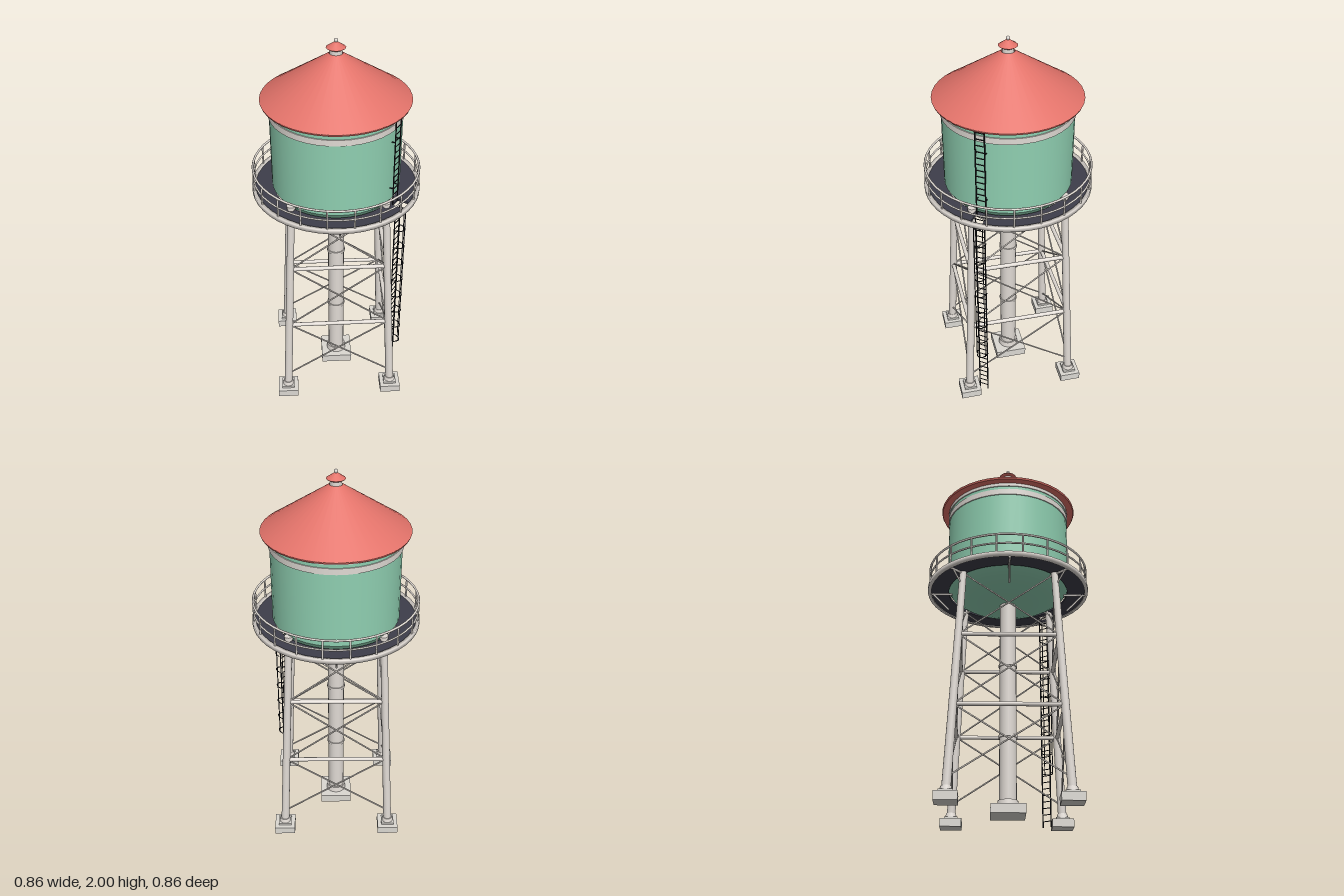
import * as THREE from 'three';

const mat = (name, color, side = THREE.FrontSide) => {
  const m = new THREE.MeshStandardMaterial({ color, side });
  m.name = name;
  return m;
};

export function createModel() {
  const red = mat('roof red', 0xe3736a, THREE.DoubleSide);
  const green = mat('tank green', 0x8fcfb1, THREE.DoubleSide);
  const steel = mat('pale steel', 0xe0dad4);
  const concrete = mat('concrete', 0xdbd8d2);
  const dark = mat('dark deck', 0x3e3e4a);
  const black = mat('ladder black', 0x1d1d21);

  const model = new THREE.Group();
  model.name = 'waterTower';
  const V = (x, y, z) => new THREE.Vector3(x, y, z);
  const group = (name, parent = model) => {
    const g = new THREE.Group();
    g.name = name;
    parent.add(g);
    return g;
  };
  const add = (parent, name, geo, material, x = 0, y = 0, z = 0) => {
    const m = new THREE.Mesh(geo, material);
    m.name = name;
    m.position.set(x, y, z);
    parent.add(m);
    return m;
  };
  // Round bar between two points, optionally tapered
  const bar = (parent, name, a, b, r, material, sides = 6, rTop = r) => {
    const d = b.clone().sub(a);
    const m = add(parent, name, new THREE.CylinderGeometry(rTop, r, d.length(), sides), material);
    m.position.copy(a).addScaledVector(d, 0.5);
    m.quaternion.setFromUnitVectors(V(0, 1, 0), d.normalize());
    return m;
  };
  const lathe = (parent, name, pts, material, sides = 40) =>
    add(parent, name, new THREE.LatheGeometry(pts.map(p => new THREE.Vector2(...p)), sides), material);
  const hoop = (parent, name, R, r, y, material) =>
    add(parent, name, new THREE.TorusGeometry(R, r, 6, 48).rotateX(Math.PI / 2), material, 0, y, 0);

  // Tank: rounded bowl and straight wall
  const tank = group('tank');
  lathe(tank, 'tankBowl', [[0, 1.122], [0.12, 1.129], [0.2, 1.148], [0.26, 1.17], [0.305, 1.198], [0.327, 1.23]], green);
  add(tank, 'tankWall', new THREE.CylinderGeometry(0.327, 0.327, 0.47, 40, 1, true), green, 0, 1.465, 0);
  for (const [y, h] of [[1.634, 0.032], [1.678, 0.018]])
    add(tank, 'tankBand', new THREE.CylinderGeometry(0.332, 0.332, h, 40), steel, 0, y, 0);

  // Roof: cone, eave lip, underside, vent cap and finial
  const roof = group('roof');
  add(roof, 'roofCone', new THREE.CylinderGeometry(0.032, 0.37, 0.228, 40, 1, true), red, 0, 1.812, 0);
  add(roof, 'roofEave', new THREE.CylinderGeometry(0.37, 0.366, 0.01, 40), red, 0, 1.694, 0);
  add(roof, 'ventNeck', new THREE.CylinderGeometry(0.028, 0.03, 0.034, 12), steel, 0, 1.938, 0);
  add(roof, 'ventCap', new THREE.CylinderGeometry(0.01, 0.048, 0.026, 12), red, 0, 1.968, 0);
  add(roof, 'ventCapRim', new THREE.CylinderGeometry(0.048, 0.036, 0.008, 12), red, 0, 1.951, 0);
  add(roof, 'finial', new THREE.SphereGeometry(0.01, 10, 8), steel, 0, 1.99, 0);

  // Walkway deck with a ladder hatch
  const walkway = group('walkway');
  const angle = Math.atan2(0.295, 0.207);
  const out = (r, t = 0) => new THREE.Vector2(
    Math.sin(angle) * r + Math.cos(angle) * t, Math.cos(angle) * r - Math.sin(angle) * t);
  const deck = new THREE.Shape().absarc(0, 0, 0.42, 0, Math.PI * 2);
  deck.holes.push(new THREE.Path().absarc(0, 0, 0.318, 0, Math.PI * 2, true));
  deck.holes.push(new THREE.Path([out(0.345, -0.03), out(0.408, -0.03), out(0.408, 0.03), out(0.345, 0.03)]));
  const deckGeo = new THREE.ExtrudeGeometry(deck, { depth: 0.012, bevelEnabled: false, curveSegments: 40 });
  add(walkway, 'deck', deckGeo.rotateX(Math.PI / 2), dark, 0, 1.21, 0);
  lathe(walkway, 'deckRim', [[0.412, 1.194], [0.43, 1.194], [0.43, 1.217], [0.412, 1.217], [0.412, 1.194]], steel, 48);

  // Guard rail
  hoop(walkway, 'topRail', 0.421, 0.006, 1.32, steel);
  hoop(walkway, 'midRail', 0.421, 0.005, 1.268, steel);
  for (let i = 0; i < 20; i++) {
    const a = (i + 0.5) / 20 * Math.PI * 2, x = Math.sin(a) * 0.421, z = Math.cos(a) * 0.421;
    bar(walkway, 'railPost', V(x, 1.21, z), V(x, 1.32, z), 0.005, steel);
  }
  // Struts and joists below the deck
  for (let i = 0; i < 8; i++) {
    const a = i * Math.PI / 4, s = Math.sin(a), c = Math.cos(a);
    bar(walkway, 'deckStrut', V(s * 0.405, 1.195, c * 0.405), V(s * 0.315, 1.1, c * 0.315), 0.005, steel);
    bar(walkway, 'deckJoist', V(s * 0.3, 1.192, c * 0.3), V(s * 0.415, 1.192, c * 0.415), 0.006, steel);
  }

  // Legs on stepped footings
  const frame = group('supportFrame');
  const legX = y => 0.286 - (y - 0.05) * 0.0444;
  const corners = [[1, 1], [1, -1], [-1, -1], [-1, 1]];
  const at = ([sx, sz], y) => V(sx * legX(y), y, sz * legX(y));
  for (const c of corners) {
    const [x, z] = [c[0] * 0.286, c[1] * 0.286];
    add(frame, 'footing', new THREE.BoxGeometry(0.11, 0.042, 0.11), concrete, x, 0.021, z);
    add(frame, 'footingStep', new THREE.BoxGeometry(0.068, 0.012, 0.068), concrete, x, 0.048, z);
    add(frame, 'legShoe', new THREE.CylinderGeometry(0.025, 0.031, 0.022, 14), steel, x, 0.064, z);
    bar(frame, 'leg', at(c, 0.05), at(c, 1.225), 0.022, steel, 14, 0.018);
    add(frame, 'legCap', new THREE.CylinderGeometry(0.022, 0.022, 0.016, 14), steel, c[0] * legX(1.225), 1.225, c[1] * legX(1.225));
  }

  // Horizontal beams and crossed tie rods on each side
  const levels = [0.12, 0.475, 0.845, 1.195];
  corners.forEach((a, i) => {
    const b = corners[(i + 1) % 4];
    for (const y of [0.475, 0.845]) bar(frame, 'beam', at(a, y), at(b, y), 0.011, steel, 10);
    for (let k = 0; k < 3; k++) {
      bar(frame, 'tieRod', at(a, levels[k]), at(b, levels[k + 1]), 0.0042, steel);
      bar(frame, 'tieRod', at(b, levels[k]), at(a, levels[k + 1]), 0.0042, steel);
    }
  });

  // Central riser pipe
  const riser = group('riser');
  add(riser, 'riserFooting', new THREE.BoxGeometry(0.17, 0.045, 0.17), concrete, 0, 0.0225, 0);
  add(riser, 'riserPipe', new THREE.CylinderGeometry(0.043, 0.043, 1.1, 20), steel, 0, 0.595, 0);
  add(riser, 'riserBase', new THREE.CylinderGeometry(0.05, 0.054, 0.03, 20), steel, 0, 0.06, 0);
  for (const y of [0.395, 0.775])
    add(riser, 'riserFlange', new THREE.CylinderGeometry(0.048, 0.048, 0.014, 20), steel, 0, y, 0);

  // Ladders: local +z points away from the tower axis
  const ladders = group('ladders');
  ladders.rotation.y = angle;
  const ladder = (name, z, y0, y1) => {
    const g = group(name, ladders);
    for (const s of [-1, 1]) bar(g, 'ladderRail', V(s * 0.024, y0, z), V(s * 0.024, y1, z), 0.0035, black);
    for (let y = y0 + 0.03; y < y1; y += 0.034) bar(g, 'rung', V(-0.024, y, z), V(0.024, y, z), 0.0025, black, 5);
    return g;
  };
  const upper = ladder('upperLadder', 0.344, 1.2, 1.69);
  for (const y of [1.3, 1.56])
    for (const s of [-1, 1]) bar(upper, 'standoff', V(s * 0.024, y, 0.32), V(s * 0.024, y, 0.344), 0.003, black);
  const lower = ladder('lowerLadder', 0.361, 0.01, 1.2);

  // Safety cage on the lower ladder
  const cage = group('safetyCage', lower);
  for (let i = 0; i < 3; i++) {
    const a = Math.PI * (0.2 + 0.3 * i), x = Math.cos(a) * 0.03, z = 0.361 + Math.sin(a) * 0.046;
    bar(cage, 'cageStrap', V(x, 0.29, z), V(x, 1.17, z), 0.0025, black, 5);
  }
  for (let i = 0; i < 9; i++) {
    const h = new THREE.TorusGeometry(0.03, 0.0025, 5, 12, Math.PI).rotateX(Math.PI / 2).scale(1, 1, 1.53);
    add(cage, 'cageHoop', h, black, 0, 0.295 + i * 0.109, 0.361);
  }

  return model;
}
